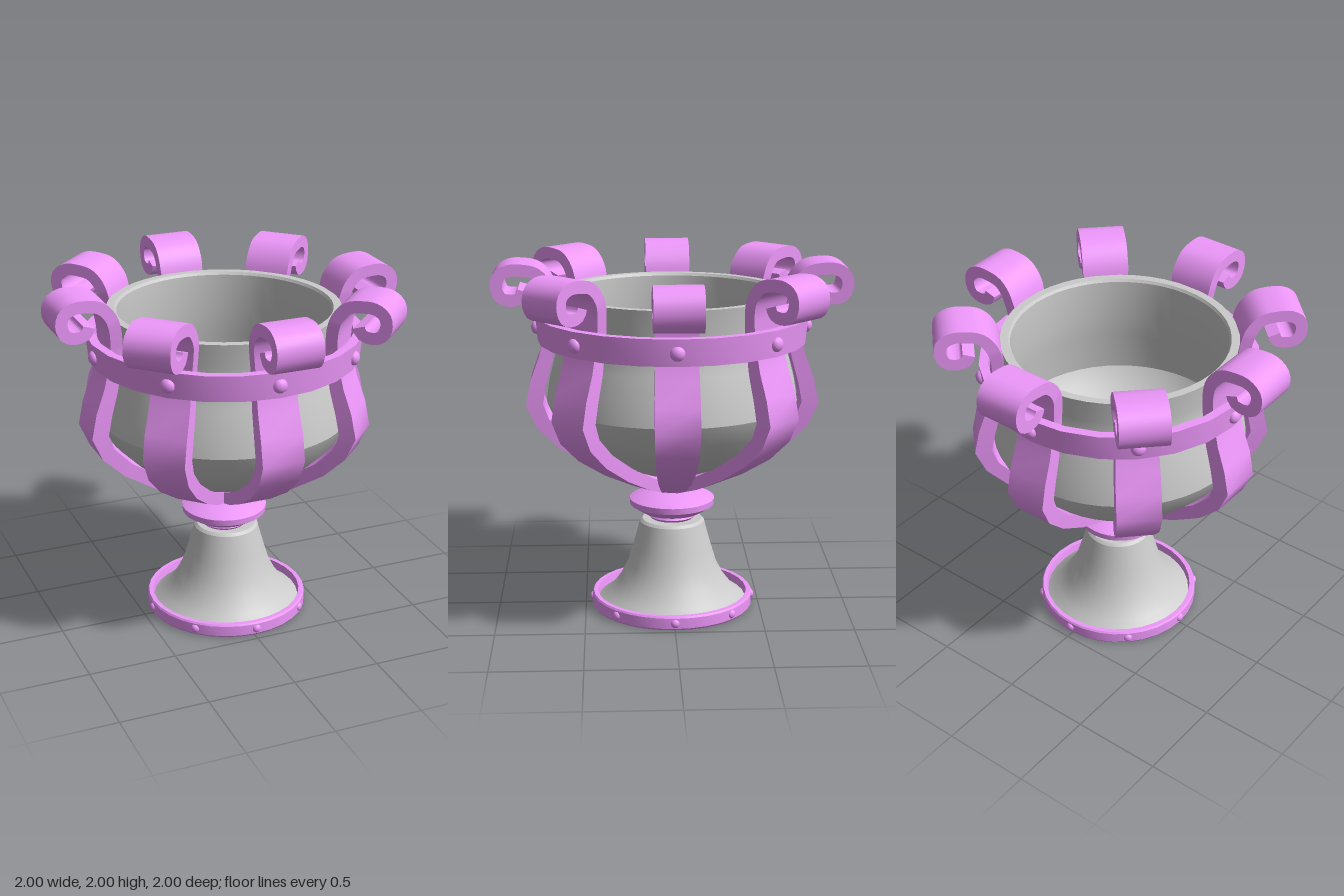
import * as THREE from 'three';
import { toCreasedNormals } from 'three/addons/utils/BufferGeometryUtils.js';

const grey = new THREE.MeshStandardMaterial({ color: 0xcccccc });
const pink = new THREE.MeshStandardMaterial({ color: 0xee98fb });

function addMesh(parent, name, geometry, material) {
  const mesh = new THREE.Mesh(geometry, material);
  mesh.name = name;
  parent.add(mesh);
  return mesh;
}

// Turned part from [radius, height] pairs, outer side listed upwards
function turned(profile, segments) {
  const points = profile.map(([r, y]) => new THREE.Vector2(r, y));
  return toCreasedNormals(new THREE.LatheGeometry(points, segments), 0.5);
}

// Bent bar in the y-z plane; each station is [radius, height, halfWidth, thickness]
function strapGeometry(stations) {
  const positions = [];
  const index = [];
  const last = stations.length - 1;
  stations.forEach(([r, y, half, thick], i) => {
    const a = stations[Math.max(i - 1, 0)];
    const b = stations[Math.min(i + 1, last)];
    const length = Math.hypot(b[0] - a[0], b[1] - a[1]);
    // offset towards the outer side of the bar
    const nr = ((b[1] - a[1]) / length) * thick / 2;
    const ny = (-(b[0] - a[0]) / length) * thick / 2;
    positions.push(
      -half, y + ny, r + nr, half, y + ny, r + nr,
      half, y - ny, r - nr, -half, y - ny, r - nr
    );
    if (i === last) return;
    for (let k = 0; k < 4; k++) {
      const p = i * 4 + k;
      const q = i * 4 + ((k + 1) % 4);
      index.push(p, q, q + 4, p, q + 4, p + 4);
    }
  });
  const e = last * 4;
  index.push(0, 2, 1, 0, 3, 2, e, e + 1, e + 2, e, e + 2, e + 3);
  const geometry = new THREE.BufferGeometry();
  geometry.setAttribute('position', new THREE.Float32BufferAttribute(positions, 3));
  geometry.setIndex(index);
  return toCreasedNormals(geometry, 0.8);
}

// Eight domed studs around a band
function addStuds(parent, name, radius, y, size) {
  const geometry = new THREE.SphereGeometry(size, 14, 10);
  for (let i = 0; i < 8; i++) {
    const angle = (i * Math.PI) / 4;
    const stud = addMesh(parent, name, geometry, pink);
    stud.position.set(Math.sin(angle) * radius, y, Math.cos(angle) * radius);
    stud.rotation.y = angle;
    stud.scale.z = 0.75;
  }
}

export function createModel() {
  const goblet = new THREE.Group();
  goblet.name = 'goblet';

  // Foot, set very slightly to one side
  const base = new THREE.Group();
  base.name = 'base';
  base.position.x = 0.012;
  goblet.add(base);
  addMesh(base, 'foot', turned([
    [0, 0.005], [0.43, 0.005], [0.43, 0.03], [0.36, 0.08], [0.3, 0.16], [0.255, 0.25],
    [0.225, 0.35], [0.2, 0.44], [0.185, 0.5], [0.17, 0.515], [0, 0.515],
  ], 32), grey);
  addMesh(base, 'footBand', turned([
    [0.42, 0], [0.455, 0], [0.462, 0.01], [0.462, 0.07], [0.455, 0.08], [0.43, 0.08], [0.42, 0],
  ], 32), pink);
  addStuds(base, 'footStud', 0.458, 0.04, 0.025);

  // Stem knob
  addMesh(goblet, 'stemKnob', turned([
    [0, 0.51], [0.115, 0.51], [0.135, 0.53], [0.125, 0.545], [0.17, 0.555], [0.24, 0.6],
    [0.243, 0.635], [0.17, 0.67], [0.1, 0.685], [0, 0.685],
  ], 32), pink);

  // Hollow bowl with a thick lip
  addMesh(goblet, 'bowl', turned([
    [0, 0.8], [0.18, 0.8], [0.38, 0.88], [0.53, 0.98], [0.65, 1.1], [0.705, 1.22],
    [0.685, 1.35], [0.65, 1.48], [0.62, 1.6], [0.625, 1.7], [0.645, 1.835],
    [0.6, 1.835], [0.59, 1.82], [0.585, 1.6], [0.61, 1.45], [0.64, 1.22],
    [0.59, 1.13], [0.48, 1.02], [0.34, 0.92], [0.175, 0.86], [0, 0.86],
  ], 48), grey);

  // Hoop around the straps
  addMesh(goblet, 'hoop', turned([
    [0.7, 1.563], [0.75, 1.563], [0.765, 1.71], [0.715, 1.71], [0.7, 1.563],
  ], 24), pink);
  addStuds(goblet, 'hoopStud', 0.755, 1.633, 0.04);

  // Ribs follow the bowl, then roll outwards into scrolls
  const rib = [
    [0.06, 0.705, 0.055, 0.06], [0.24, 0.775, 0.07, 0.07], [0.43, 0.872, 0.09, 0.075],
    [0.61, 0.99, 0.107, 0.08], [0.725, 1.105, 0.116, 0.085], [0.77, 1.215, 0.12, 0.095],
    [0.745, 1.34, 0.12, 0.09], [0.7, 1.48, 0.116, 0.078], [0.675, 1.6, 0.113, 0.07],
  ];
  const scroll = new THREE.CatmullRomCurve3([
    [0.662, 1.7], [0.67, 1.81], [0.695, 1.89], [0.75, 1.95], [0.82, 1.967], [0.9, 1.965],
    [0.953, 1.93], [0.964, 1.87], [0.938, 1.817], [0.88, 1.803], [0.83, 1.82], [0.815, 1.855],
  ].map(([r, y]) => new THREE.Vector3(0, y, r)));
  scroll.getSpacedPoints(34).forEach((p, i) => {
    rib.push([p.z, p.y, Math.min(0.13, 0.113 + i * 0.0025), 0.067]);
  });
  const ribGeometry = strapGeometry(rib);
  for (let i = 0; i < 8; i++) {
    addMesh(goblet, 'scrolledRib', ribGeometry, pink).rotation.y = (i * Math.PI) / 4;
  }
  return goblet;
}
